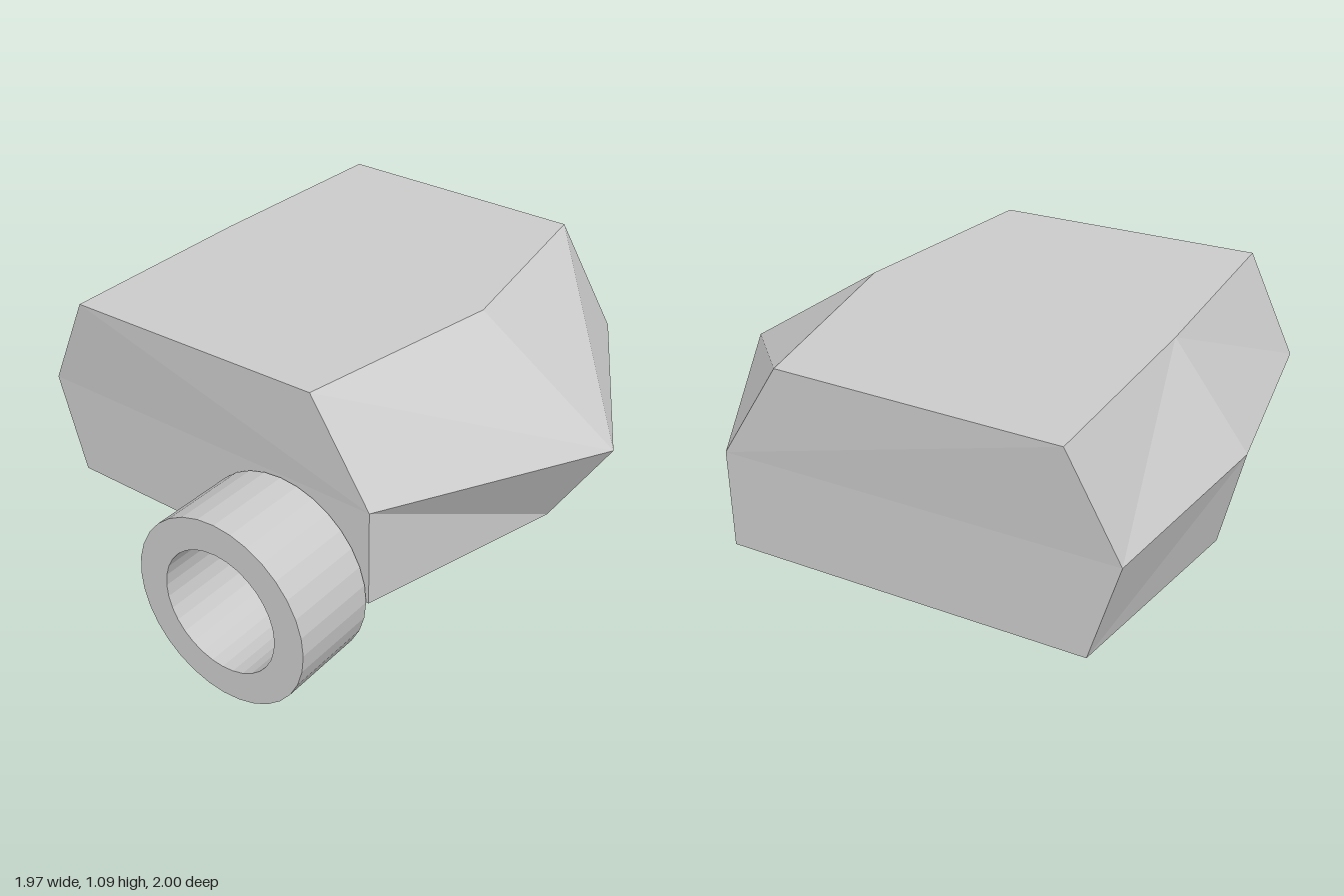
import * as THREE from 'three';

const material = new THREE.MeshStandardMaterial({ color: 0xcccccc, flatShading: true });
const CENTRE_X = 0.16;

// Faceted block lofted through three six-sided levels, each pointed at front and back.
function bodyGeometry() {
  const levels = [
    { y: 0.35, frontW: 0.8, backW: 0.8, front: 0.77, frontSide: 0.55, back: -0.92, backSide: -0.79 },
    { y: 0.72, frontW: 0.8, backW: 0.8, front: 1.0, frontSide: 0.55, back: -1.0, backSide: -0.895 },
    { y: 1.09, frontW: 0.803, backW: 0.82, front: 0.45, frontSide: 0.315, back: -0.72, backSide: -0.705 },
  ];
  const positions = [];
  const index = [];
  for (const l of levels) {
    const outline = [
      [0, l.front], [l.frontW, l.frontSide], [l.backW, l.backSide],
      [0, l.back], [-l.backW, l.backSide], [-l.frontW, l.frontSide],
    ];
    for (const [x, z] of outline) positions.push(x + CENTRE_X, l.y, z);
  }
  // Side walls
  for (let level = 0; level < 2; level++) {
    for (let i = 0; i < 6; i++) {
      const a = level * 6 + i;
      const b = level * 6 + ((i + 1) % 6);
      // Mirror the diagonal between the two halves
      if (i < 3) index.push(a, b, b + 6, a, b + 6, a + 6);
      else index.push(a, b, a + 6, b, b + 6, a + 6);
    }
  }
  // Flat bottom and top
  for (let i = 1; i < 5; i++) {
    index.push(0, i + 1, i);
    index.push(12, 12 + i, 13 + i);
  }
  const indexed = new THREE.BufferGeometry();
  indexed.setAttribute('position', new THREE.Float32BufferAttribute(positions, 3));
  indexed.setIndex(index);
  const geometry = indexed.toNonIndexed();
  geometry.computeVertexNormals();
  return geometry;
}

// Short open tube whose axis runs sideways along x.
function tubeGeometry(outer, inner, length) {
  const shape = new THREE.Shape().absarc(0, 0, outer, 0, Math.PI * 2, false);
  shape.holes.push(new THREE.Path().absarc(0, 0, inner, 0, Math.PI * 2, true));
  const geometry = new THREE.ExtrudeGeometry(shape, {
    depth: length, bevelEnabled: false, curveSegments: 16,
  });
  return geometry.rotateY(Math.PI / 2);
}

export function createModel() {
  const model = new THREE.Group();
  model.name = 'blockWithSideRing';

  const body = new THREE.Mesh(bodyGeometry(), material);
  body.name = 'body';
  model.add(body);

  const ring = new THREE.Mesh(tubeGeometry(0.357, 0.237, 0.335), material);
  ring.name = 'sideRing';
  ring.position.set(-0.985, 0.36, 0.19);
  model.add(ring);

  return model;
}
